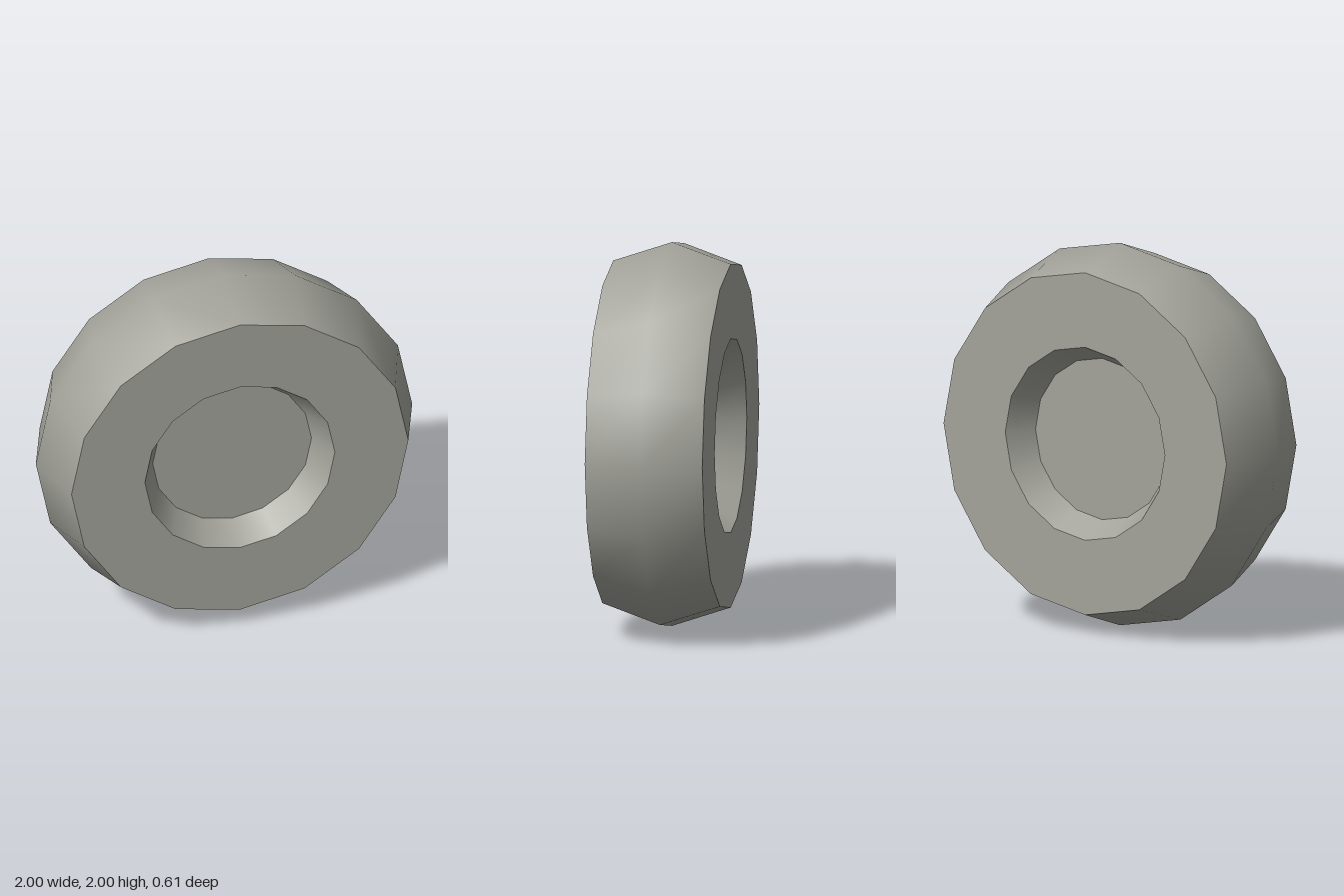
import * as THREE from 'three';

const SIDES = 16;
const HALF = 0.305; // half of the wheel's width
const RIM = 0.895; // outer radius at each side face
const HOLE = 0.505; // recess radius at the side face
const HUB = 0.422; // recess radius at its floor
const FLOOR = 0.155; // distance of the recess floor from the middle

const rubber = new THREE.MeshStandardMaterial({ color: 0xa3a39b });
rubber.name = 'warmGrey';

// Turns a [radius, z] profile about the z axis; smooth within one part, sharp between parts
function turned(name, profile) {
  const points = profile.map(([r, z]) => new THREE.Vector2(r, z));
  const geometry = new THREE.LatheGeometry(points, SIDES);
  geometry.rotateX(Math.PI / 2);
  const mesh = new THREE.Mesh(geometry, rubber);
  mesh.name = name;
  return mesh;
}

// One side of the wheel: flat sidewall, tapered recess and hub disc
function wheelSide(name) {
  const side = new THREE.Group();
  side.name = name;
  side.add(
    turned('sidewall', [[RIM, HALF], [HOLE, HALF]]),
    turned('recessWall', [[HOLE, HALF], [HUB, FLOOR]]),
    turned('hubDisc', [[HUB, FLOOR], [0, FLOOR]])
  );
  return side;
}

export function createModel() {
  const model = new THREE.Group();
  model.name = 'wheel';

  // Crowned tread
  model.add(turned('tread', [[RIM, -HALF], [1, 0], [RIM, HALF]]));

  // Matching front and back sides
  const front = wheelSide('frontSide');
  const back = wheelSide('backSide');
  back.rotation.y = Math.PI;
  model.add(front, back);

  // Stand the wheel on the ground
  for (const part of model.children) part.position.y = 1;
  return model;
}
